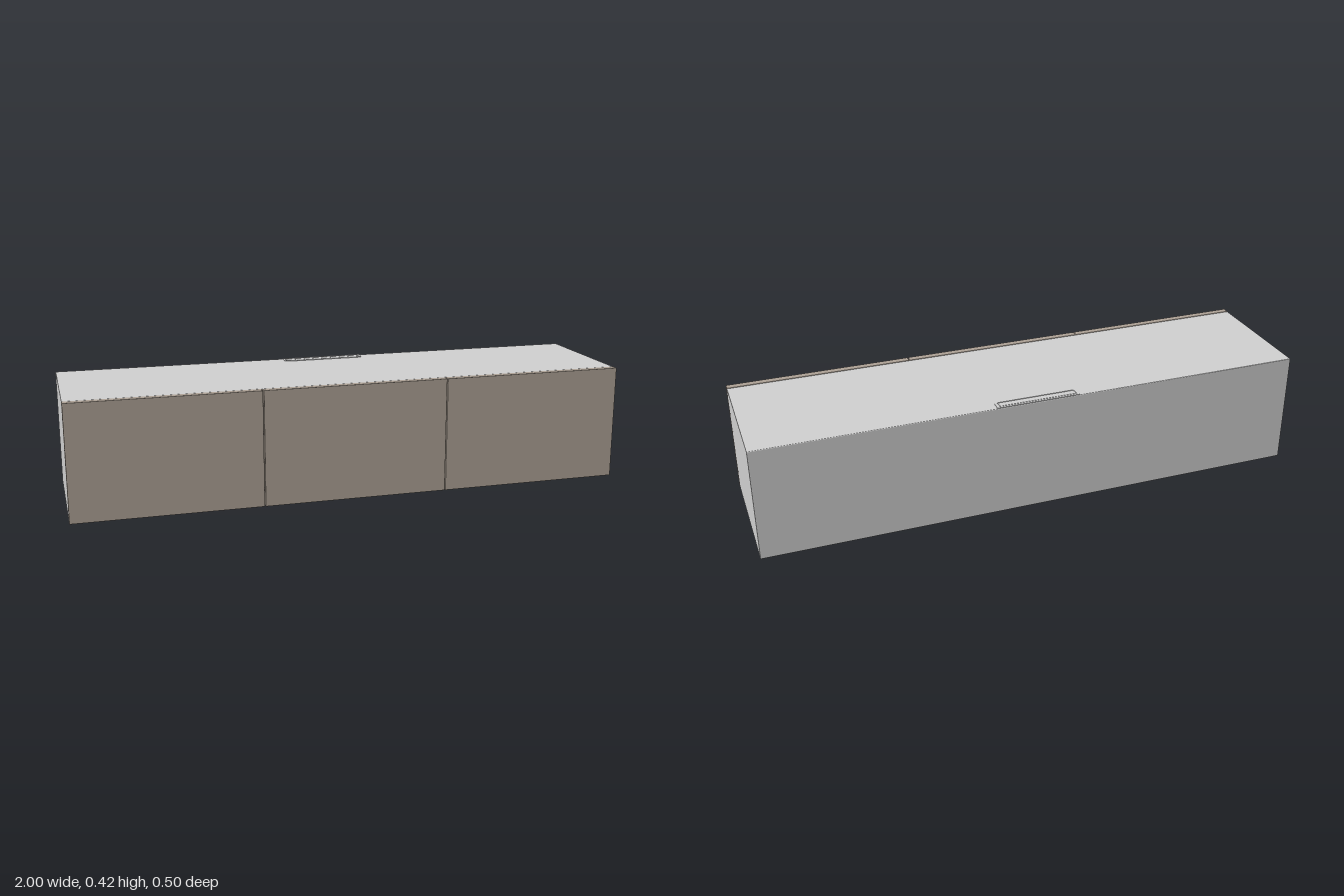
import * as THREE from 'three';
import { RoundedBoxGeometry } from 'three/addons/geometries/RoundedBoxGeometry.js';

const bodyGrey = new THREE.MeshStandardMaterial({ color: 0xd2d2d2 });
bodyGrey.name = 'bodyGrey';
const doorTaupe = new THREE.MeshStandardMaterial({ color: 0xb0a498 });
doorTaupe.name = 'doorTaupe';

// Rounded box spanning the given limits
function block(name, material, [x0, x1], [y0, y1], [z0, z1], radius) {
  const geometry = new RoundedBoxGeometry(x1 - x0, y1 - y0, z1 - z0, 2, radius);
  const mesh = new THREE.Mesh(geometry, material);
  mesh.name = name;
  mesh.position.set((x0 + x1) / 2, (y0 + y1) / 2, (z0 + z1) / 2);
  return mesh;
}

// Outline with a straight back edge and two rounded front corners
function trayOutline(target, x, back, front, r) {
  target.moveTo(-x, back);
  target.lineTo(x, back);
  target.lineTo(x, front - r);
  target.quadraticCurveTo(x, front, x - r, front);
  target.lineTo(-x + r, front);
  target.quadraticCurveTo(-x, front, -x, front - r);
  target.closePath();
  return target;
}

export function createModel() {
  const model = new THREE.Group();
  model.name = 'wallCabinet';

  // Carcass
  model.add(block('carcass', bodyGrey, [-1, 1], [0, 0.418], [-0.249, 0.222], 0.003));

  // Three equal doors with narrow gaps
  const pitch = 2 / 3;
  const gap = 0.003;
  ['rightDoor', 'middleDoor', 'leftDoor'].forEach((name, i) => {
    const x0 = -1 + i * pitch + (i > 0 ? gap / 2 : 0);
    const x1 = -1 + (i + 1) * pitch - (i < 2 ? gap / 2 : 0);
    model.add(block(name, doorTaupe, [x0, x1], [0.003, 0.418], [0.224, 0.249], 0.001));
  });

  // Cable outlet rim at the back of the top
  const rimShape = trayOutline(new THREE.Shape(), 0.152, -0.247, -0.199, 0.016);
  rimShape.holes.push(trayOutline(new THREE.Path(), 0.144, -0.238, -0.209, 0.01));
  const rim = new THREE.Mesh(
    new THREE.ExtrudeGeometry(rimShape, { depth: 0.004, bevelEnabled: false, curveSegments: 6 }),
    bodyGrey
  );
  rim.name = 'cableOutletRim';
  rim.rotation.x = Math.PI / 2; // shape y becomes z, depth runs down
  rim.position.y = 0.42;
  model.add(rim);

  // Lid inside the rim, leaving a thin groove around it
  model.add(block('cableOutletLid', bodyGrey, [-0.14, 0.14], [0.416, 0.4195], [-0.235, -0.213], 0.001));

  return model;
}
